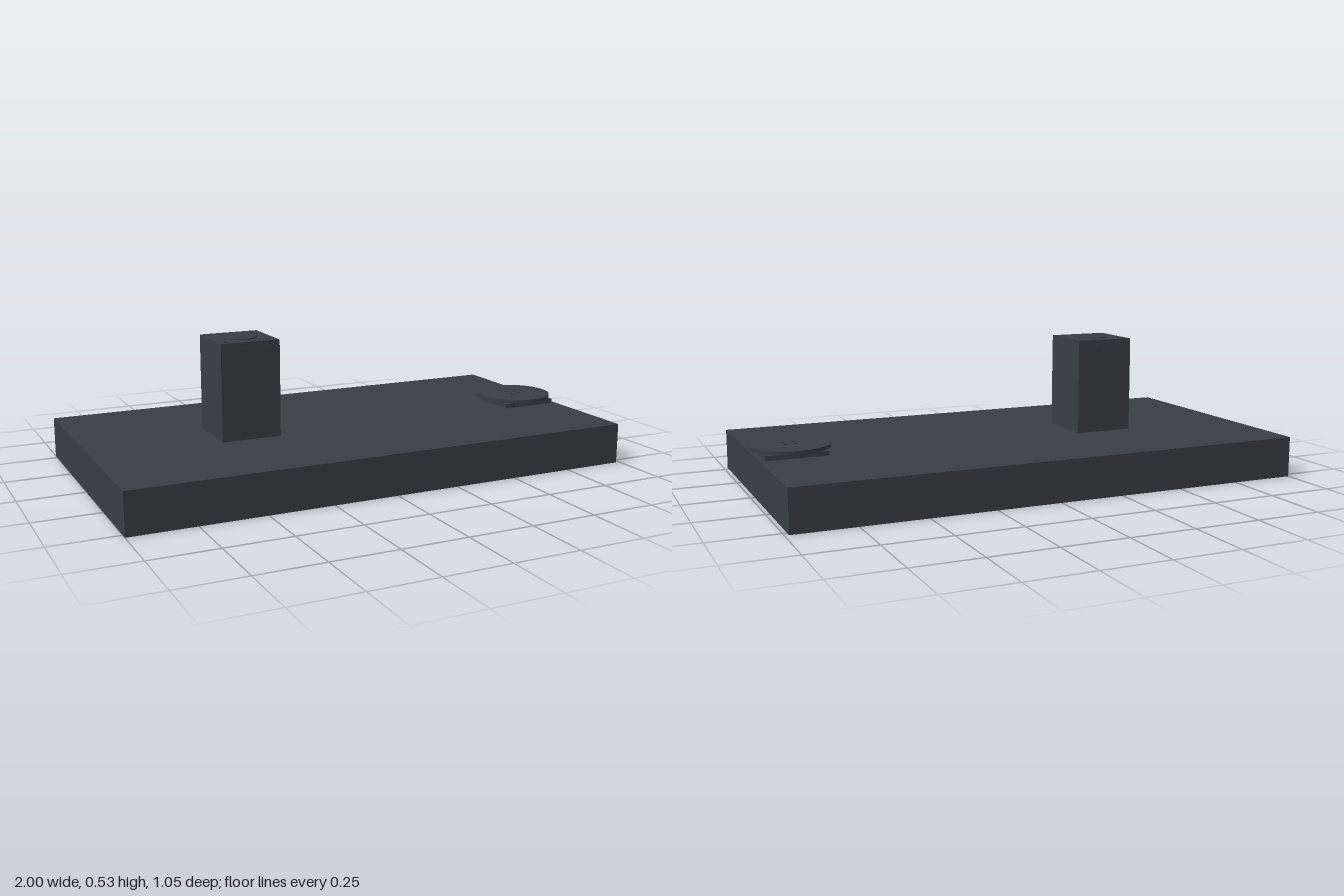
import * as THREE from 'three';

const dark = new THREE.MeshStandardMaterial({ color: 0x3a3e43 });
dark.name = 'dark charcoal';

export function createModel() {
  const model = new THREE.Group();

  const add = (name, geometry, x, y, z = 0, parent = model) => {
    const mesh = new THREE.Mesh(geometry, dark);
    mesh.name = name;
    mesh.position.set(x, y, z);
    parent.add(mesh);
    return mesh;
  };

  // Horizontal plate with four round holes, its underside at y = 0
  const drilledPlate = (shape, thickness, offset, radius) => {
    for (const sx of [-1, 1]) for (const sy of [-1, 1]) {
      const hole = new THREE.Path();
      hole.absarc(sx * offset, sy * offset, radius, 0, Math.PI * 2, true);
      shape.holes.push(hole);
    }
    const geometry = new THREE.ExtrudeGeometry(shape, { depth: thickness, bevelEnabled: false, curveSegments: 32 });
    return geometry.rotateX(-Math.PI / 2);
  };
  const square = (h) => new THREE.Shape([
    new THREE.Vector2(-h, -h), new THREE.Vector2(h, -h),
    new THREE.Vector2(h, h), new THREE.Vector2(-h, h),
  ]);
  const circle = (r) => new THREE.Shape().absarc(0, 0, r, 0, Math.PI * 2, false);

  // Base slab
  add('base', new THREE.BoxGeometry(1.985, 0.157, 1.054), -0.0075, 0.0785);

  // Upright square motor with a drilled end cap and a round pilot boss
  const motor = new THREE.Group();
  motor.name = 'motor';
  motor.position.set(-0.398, 0.157, 0);
  model.add(motor);
  add('motorBody', new THREE.BoxGeometry(0.232, 0.348, 0.232), 0, 0.174, 0, motor);
  add('motorCap', drilledPlate(square(0.115), 0.021, 0.085, 0.011), 0, 0.348, 0, motor);
  add('pilotBoss', new THREE.CylinderGeometry(0.066, 0.066, 0.004, 48), 0, 0.371, 0, motor);

  // Turntable: square mount, short hub and drilled disc
  const turntable = new THREE.Group();
  turntable.name = 'turntable';
  turntable.position.set(0.85, 0.157, 0);
  model.add(turntable);
  add('mountPlate', new THREE.BoxGeometry(0.232, 0.018, 0.232), 0, 0.009, 0, turntable);
  add('hub', new THREE.CylinderGeometry(0.066, 0.066, 0.004, 48), 0, 0.0195, 0, turntable);
  add('disc', drilledPlate(circle(0.15), 0.014, 0.02, 0.008), 0, 0.02, 0, turntable);

  return model;
}
